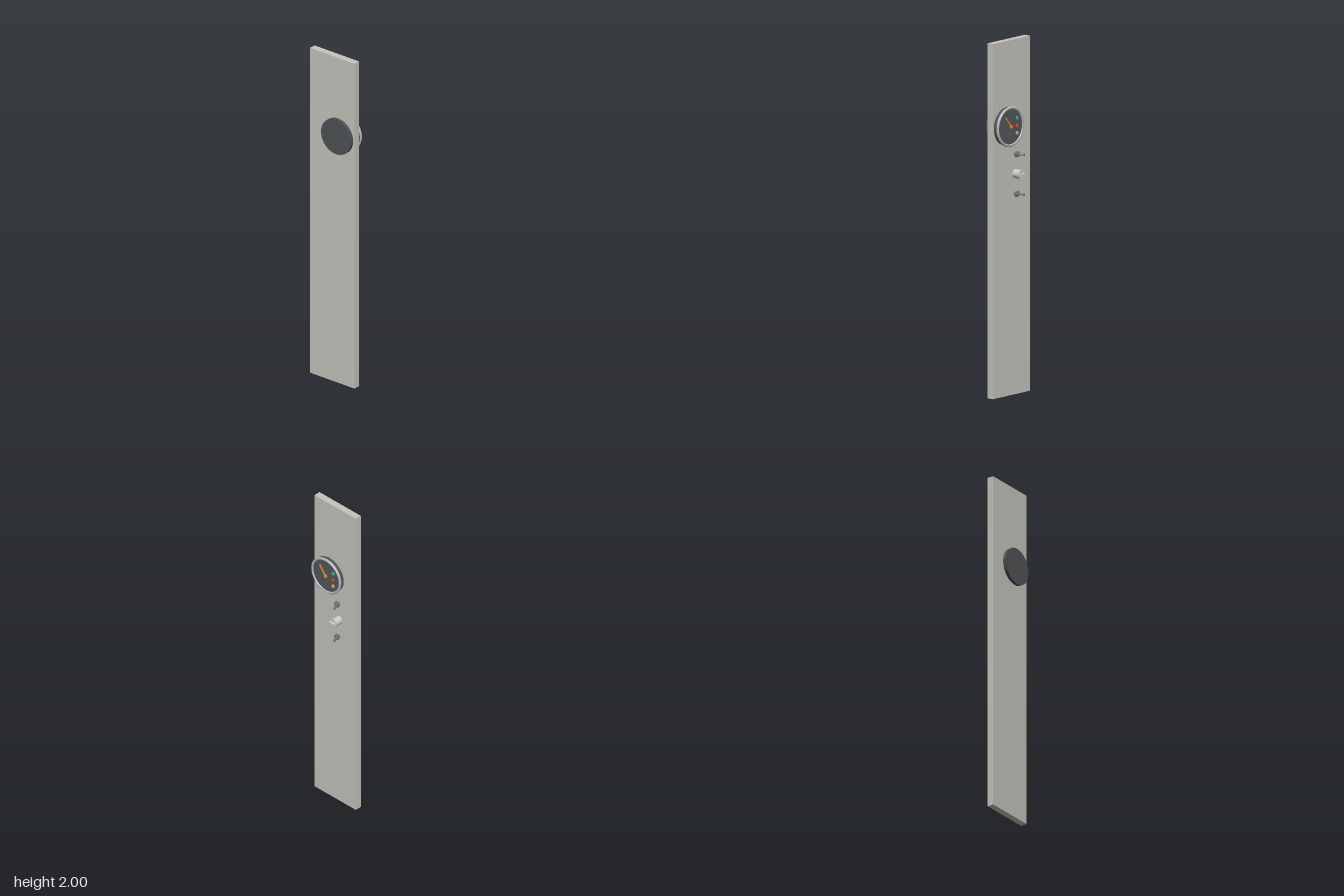
import * as THREE from 'three';

const mat = (color) => new THREE.MeshStandardMaterial({ color });
const panelMat = mat(0xc6c5bd), darkMat = mat(0x505356), dialMat = mat(0x54585b);
const chromeMat = mat(0xb4b8ba), knobMat = mat(0xcccccc), steelMat = mat(0x77797b);
const needleMat = mat(0xe08a38);

function add(parent, name, geometry, material, x = 0, y = 0, z = 0) {
  const mesh = new THREE.Mesh(geometry, material);
  mesh.name = name;
  mesh.position.set(x, y, z);
  parent.add(mesh);
  return mesh;
}

// Cylinder lying along x, from x0 to x1
function discX(r0, r1, x0, x1, sides = 32) {
  return new THREE.CylinderGeometry(r1, r0, x1 - x0, sides)
    .rotateZ(-Math.PI / 2).translate((x0 + x1) / 2, 0, 0);
}

function group(parent, name, y, z) {
  const g = new THREE.Group();
  g.name = name;
  g.position.set(0, y, z);
  parent.add(g);
  return g;
}

export function createModel() {
  const model = new THREE.Group();
  model.name = 'instrumentPanel';

  // Upright board
  add(model, 'board', new THREE.BoxGeometry(0.039, 2, 0.317), panelMat, -0.0215, 1, 0.001);

  // Round gauge set through the board
  const gauge = group(model, 'gauge', 1.521, 0.043);
  add(gauge, 'gaugeBody', discX(0.107, 0.107, -0.06, 0.022), darkMat);
  add(gauge, 'dial', discX(0.102, 0.102, 0.02, 0.027), dialMat);
  add(gauge, 'bezel', new THREE.TorusGeometry(0.1055, 0.008, 12, 48).rotateY(Math.PI / 2), chromeMat, 0.025);

  // Needle with a short counterweight tail
  const dy = 0.058, dz = 0.046, length = Math.hypot(dy, dz);
  const needle = add(gauge, 'needle', new THREE.BoxGeometry(0.004, length + 0.012, 0.008)
    .translate(0, length / 2 - 0.006, 0), needleMat, 0.032);
  needle.rotation.x = Math.atan2(dz, dy);
  add(gauge, 'needleHub', discX(0.01, 0.01, 0.026, 0.038, 16), needleMat);

  // Warning lamps down the edge of the dial
  [['greenLamp', 0x3fb58c, 0.042], ['redLamp', 0xdb4f3b, 0], ['yellowLamp', 0xdfbf4c, -0.042]]
    .forEach(([name, color, y]) => add(gauge, name, discX(0.011, 0.01, 0.025, 0.031, 16), mat(color), 0, y, -0.055));

  // Toggle switches above and below the knob
  for (const [name, y] of [['upperToggle', 1.354], ['lowerToggle', 1.131]]) {
    const toggle = group(model, name, y, -0.028);
    add(toggle, 'threadedNeck', discX(0.01, 0.01, -0.004, 0.026, 16), steelMat);
    add(toggle, 'nut', discX(0.018, 0.018, 0.009, 0.021, 6), steelMat);
    const lever = add(toggle, 'lever', discX(0.005, 0.007, 0, 0.038, 12), steelMat, 0.021);
    lever.rotation.y = 0.5;
  }

  // Rotary knob with a raised grip bar
  const knob = group(model, 'knob', 1.243, -0.03);
  add(knob, 'knobBase', discX(0.025, 0.025, -0.003, 0.045, 24), knobMat);
  add(knob, 'knobGrip', new THREE.BoxGeometry(0.016, 0.012, 0.042), knobMat, 0.052);

  return model;
}
